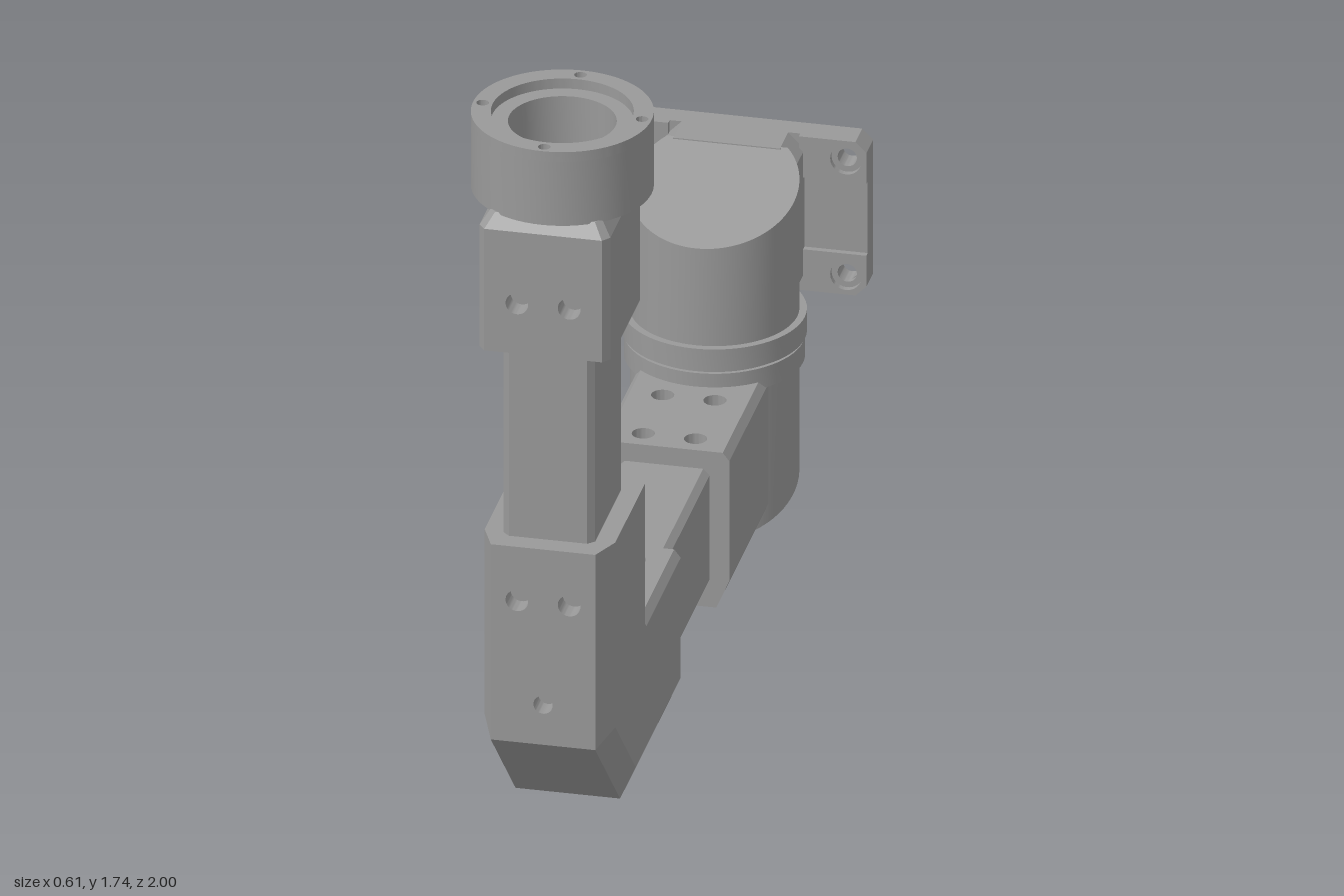
import * as THREE from 'three';
import { toCreasedNormals } from 'three/addons/utils/BufferGeometryUtils.js';

const grey = new THREE.MeshStandardMaterial({ color: 0x999999 });
grey.name = 'machineGrey';

const PIVOT_Z = -0.74, COLLAR_Z = 0.795;

export function createModel() {
  const model = new THREE.Group();
  model.name = 'jointedArm';

  function add(name, geometry, z = 0, y = 0) {
    const mesh = new THREE.Mesh(toCreasedNormals(geometry, 0.3), grey);
    mesh.name = name;
    mesh.position.set(0, y, z);
    model.add(mesh);
    return mesh;
  }

  function circle(x, y, r) {
    return new THREE.Path().absarc(x, y, r, 0, Math.PI * 2, false);
  }

  function rect(x0, y0, x1, y1, c = 0) {
    const p = [[x0 + c, y0], [x1 - c, y0], [x1, y0 + c], [x1, y1 - c],
      [x1 - c, y1], [x0 + c, y1], [x0, y1 - c], [x0, y0 + c]];
    const corners = c ? p : [[x0, y0], [x1, y0], [x1, y1], [x0, y1]];
    return new THREE.Shape(corners.map(q => new THREE.Vector2(...q)));
  }

  function extrude(shape, holes, depth) {
    shape.holes.push(...holes);
    return new THREE.ExtrudeGeometry(shape, { depth, bevelEnabled: false, curveSegments: 24 });
  }

  // Bevelled box section swept through stations [outer z, outer y, inner z, inner y, width scale].
  // panels: key "station,side" (side 0 = outer, 4 = inner) -> drilled holes [x, distance, radius]
  function loft(name, stations, w, bevel, panels = {}) {
    const [o, i] = bevel; // [inset, depth fraction] on the outer and inner edges
    const s0 = stations[0], s1 = stations[1];
    const facing = (s0[3] - s0[1]) * (s1[0] - s0[0]) - (s0[2] - s0[0]) * (s1[1] - s0[1]);
    const sx = facing > 0 ? 1 : -1;
    const section = [[-w + o[0], 0], [w - o[0], 0], [w, o[1]], [w, 1 - i[1]],
      [w - i[0], 1], [-w + i[0], 1], [-w, 1 - i[1]], [-w, o[1]]];
    const rings = stations.map(([oz, oy, iz, iy, k = 1]) => section.map(([x, t]) =>
      new THREE.Vector3(x * sx * k, oy + (iy - oy) * t, oz + (iz - oz) * t)));
    const pos = [];
    const tri = (...pts) => pts.forEach(p => pos.push(p.x, p.y, p.z));
    for (let s = 0; s < rings.length - 1; s++) {
      for (let k = 0; k < 8; k++) {
        const a = rings[s][k], b = rings[s][(k + 1) % 8];
        const c = rings[s + 1][(k + 1) % 8], d = rings[s + 1][k];
        const holes = panels[s + ',' + k];
        if (!holes) { tri(a, b, c); tri(a, c, d); continue; }
        const u = b.clone().sub(a), v = c.clone().sub(b);
        const half = u.length() / 2, len = v.length();
        u.normalize(); v.normalize();
        const n = u.clone().cross(v);
        const g = extrude(rect(-half, 0, half, len), holes.map(h => circle(...h)), 0.05);
        g.translate(0, 0, -0.05);
        g.applyMatrix4(new THREE.Matrix4().makeBasis(u, v, n)
          .setPosition(a.clone().add(b).multiplyScalar(0.5)));
        add(name + 'DrilledFace', g);
      }
    }
    const first = rings[0], last = rings[rings.length - 1];
    for (let k = 1; k < 7; k++) {
      tri(first[0], first[k + 1], first[k]);
      tri(last[0], last[k], last[k + 1]);
    }
    const g = new THREE.BufferGeometry();
    g.setAttribute('position', new THREE.Float32BufferAttribute(pos, 3));
    g.computeVertexNormals();
    return add(name, g);
  }

  const pairs = (...rows) => rows.flatMap(v => [[-0.06, v, 0.026], [0.06, v, 0.026]]);
  const sleeveBevel = [[0.03, 0.18], [0.015, 0.05]];
  const tubeBevel = [[0.015, 0.05], [0.015, 0.05]];

  // Inner tubes, running on inside the sleeves
  loft('horizontalTube', [[0.7, 0.055, 0.7, 0.345], [-0.62, 0.055, -0.62, 0.345]], 0.105, tubeBevel);
  loft('uprightTube', [[0.94, 0.3, 0.65, 0.3], [0.94, 1.55, 0.65, 1.55]], 0.105, tubeBevel);

  // Elbow with cut-off outer corner
  loft('elbow', [[0.26, 0, 0.26, 0.39], [0.74, 0, 0.6, 0.39],
    [0.99, 0.245, 0.6, 0.39], [0.99, 0.735, 0.6, 0.735]], 0.15, sleeveBevel, {
    '0,0': [...pairs(0.155), [0, 0.385, 0.022]],
    '0,4': pairs(0.07, 0.24),
    '2,0': [...pairs(0.355), [0, 0.1, 0.022]],
    '2,4': pairs(0.105, 0.275),
  });

  // Straight sleeves
  loft('upperSleeve', [[0.6, 1.22, 0.99, 1.22], [0.6, 1.525, 0.99, 1.525],
    [0.62, 1.56, 0.97, 1.56, 0.85]], 0.15, sleeveBevel,
  { '0,0': pairs(0.06, 0.23), '0,4': pairs(0.125) });
  loft('rearSleeve', [[-0.23, 0, -0.23, 0.39], [-0.57, 0, -0.86, 0.39]], 0.15, sleeveBevel,
    { '0,0': pairs(0.155), '0,4': pairs(0.055, 0.25) });

  // Top collar: stepped bore below a rim with four screw holes
  const lathe = pts => new THREE.LatheGeometry(pts.map(p => new THREE.Vector2(...p)), 64);
  add('topCollar', lathe([[0, 1.555], [0.205, 1.555], [0.205, 1.715], [0.122, 1.715],
    [0.122, 1.58], [0, 1.58]]), COLLAR_Z);
  const screws = [0, 1, 2, 3].map(k =>
    circle(0.183 * Math.cos(k * Math.PI / 2), 0.183 * Math.sin(k * Math.PI / 2), 0.014));
  const rim = new THREE.Shape().absarc(0, 0, 0.205, 0, Math.PI * 2, false);
  rim.holes.push(circle(0, 0, 0.16), ...screws);
  const rimGeometry = new THREE.ExtrudeGeometry(rim,
    { depth: 0.025, bevelEnabled: false, curveSegments: 64 });
  add('topCollarRim', rimGeometry.rotateX(-Math.PI / 2), COLLAR_Z, 1.715);

  // Swivel joint: bend housing with sloping base, grooved ring, head with sloping top
  const R = 0.19, GAP = 0.817;
  const baseY = z => Math.max(0, 0.37 * (-0.56 - PIVOT_Z - z));
  const topY = z => Math.min(0.84, 0.73 + 0.344 * (-0.55 - PIVOT_Z - z));
  function reshape(geometry, rule) {
    const p = geometry.attributes.position;
    for (let i = 0; i < p.count; i++) p.setY(i, rule(p.getY(i), p.getZ(i)));
    geometry.computeVertexNormals();
    return geometry;
  }
  add('bendHousing', reshape(new THREE.CylinderGeometry(R, R, 1, 64, 1, true),
    (y, z) => y > 0 ? 0.38 : baseY(z)), PIVOT_Z);
  add('bendBase', reshape(new THREE.CircleGeometry(R, 64).rotateX(Math.PI / 2),
    (y, z) => baseY(z)), PIVOT_Z);
  add('swivelRing', lathe([[0, 0.372], [0.203, 0.372], [0.203, 0.424], [0.194, 0.424],
    [0.194, 0.432], [0.207, 0.432], [0.207, 0.487], [0, 0.487]]), PIVOT_Z);
  add('swivelHead', reshape(new THREE.CylinderGeometry(R, R, 1, 56, 1, true,
    Math.PI + GAP, Math.PI * 2 - GAP * 2), (y, z) => y > 0 ? topY(z) : 0.48), PIVOT_Z);
  const capShape = new THREE.Shape().absarc(0, 0, R,
    Math.PI / 2 + GAP, Math.PI * 2.5 - GAP, false);
  add('swivelHeadTop', reshape(new THREE.ShapeGeometry(capShape, 56).rotateX(-Math.PI / 2),
    (y, z) => topY(z)), PIVOT_Z);

  // Hollow neck between head and mounting plate
  add('bracketNeck', extrude(rect(-0.16, 0.455, 0.16, 0.84, 0.038),
    [rect(-0.13, 0.485, 0.13, 0.805)], 0.088), -0.95);
  add('pocketLiner', extrude(rect(-0.135, 0.48, 0.135, 0.81),
    [rect(-0.125, 0.49, 0.125, 0.8)], 0.152), -0.952);
  add('pocketFloor', extrude(rect(-0.13, 0.485, 0.13, 0.805), [], 0.01), -0.801);

  // Mounting plate, open-backed, with four bolt corners
  const midY = 0.6475, boltX = 0.258, boltY = 0.145;
  const bolts = [];
  for (const sx of [-1, 1]) for (const sy of [-1, 1]) bolts.push([sx, sy]);
  const boltHoles = r => bolts.map(([sx, sy]) => circle(sx * boltX, midY + sy * boltY, r));
  add('plateWeb', extrude(rect(-0.305, 0.455, 0.305, 0.84, 0.025),
    [rect(-0.125, 0.49, 0.125, 0.8), ...boltHoles(0.022)], 0.015), -0.96);
  add('plateRim', extrude(rect(-0.305, 0.455, 0.305, 0.84, 0.025),
    [rect(-0.282, 0.478, 0.282, 0.817, 0.02)], 0.042), -1);
  for (const [sx, sy] of bolts) {
    const x = sx * boltX, y = midY + sy * boltY;
    const boss = new THREE.Shape().absarc(x, y, 0.04, 0, Math.PI * 2, false);
    add('boltBoss', extrude(boss, [circle(x, y, 0.022)], 0.04), -0.998);
    const pad = new THREE.Shape([[0.15, 0.09], [0.305, 0.09], [0.305, 0.1675],
      [0.28, 0.1925], [0.15, 0.1925]].map(([px, py]) => new THREE.Vector2(sx * px, midY + sy * py)));
    add('boltPad', extrude(pad, [circle(x, y, 0.036)], 0.015), -0.946);
  }
  // Small ribs on the inside of the plate's short edges
  for (const sx of [-1, 1]) for (const dy of [-0.05, 0.05]) {
    const x = sx * 0.27;
    add('plateRib', extrude(rect(x - 0.02, midY + dy - 0.015, x + 0.02, midY + dy + 0.015, 0.008),
      [], 0.035), -0.994);
  }

  return model;
}
